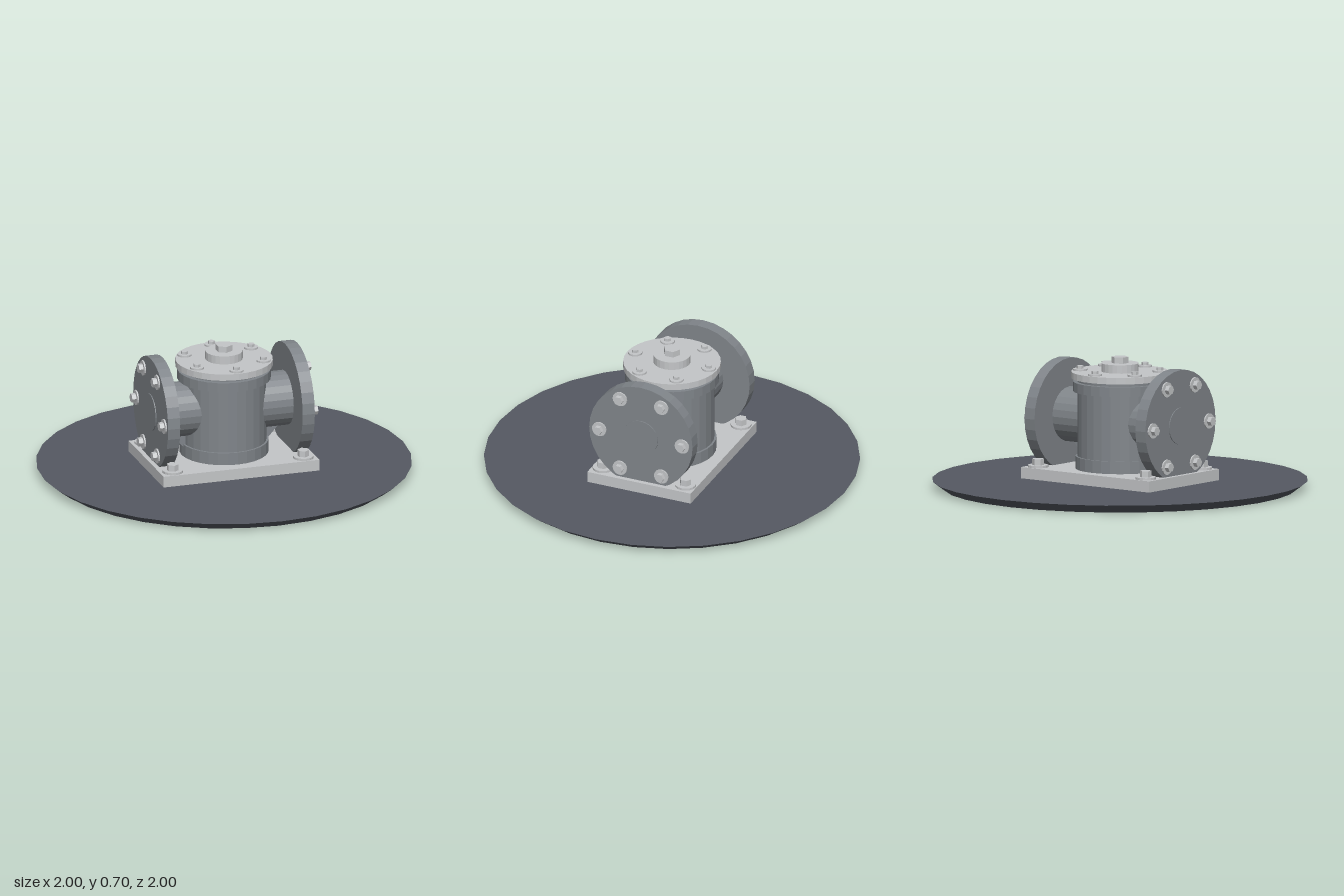
import * as THREE from 'three';

const paint = (name, color) => {
  const m = new THREE.MeshStandardMaterial({ color });
  m.name = name;
  return m;
};

export function createModel() {
  const model = new THREE.Group();
  model.name = 'pump';
  const slate = paint('dark slate', 0x555962);
  const iron = paint('cast iron grey', 0x80858a);
  const steel = paint('light steel', 0xc4c6c8);

  function add(parent, name, geometry, material) {
    const flat = geometry.index ? geometry.toNonIndexed() : geometry;
    flat.computeVertexNormals(); // faceted look
    const mesh = new THREE.Mesh(flat, material);
    mesh.name = name;
    parent.add(mesh);
    return mesh;
  }

  // Upright cylinder between two heights
  function drum(parent, name, rTop, rBottom, y0, y1, sides, material) {
    const g = new THREE.CylinderGeometry(rTop, rBottom, y1 - y0, sides);
    g.translate(0, (y0 + y1) / 2, 0);
    return add(parent, name, g, material);
  }

  // Washer with a hexagonal head, standing on y = 0
  function bolt(parent, name, x, y, z, washerR, washerH, hexR, top) {
    const g = new THREE.Group();
    g.name = name;
    g.position.set(x, y, z);
    drum(g, 'washer', washerR, washerR, 0, washerH, 16, steel);
    drum(g, 'hexHead', hexR, hexR, washerH, top, 6, steel);
    parent.add(g);
  }

  // Floor disc and mounting plate
  drum(model, 'floorDisc', 1, 0.94, 0, 0.045, 32, slate);
  const plate = add(model, 'basePlate', new THREE.BoxGeometry(0.87, 0.06, 0.6), steel);
  plate.position.y = 0.075;
  for (const x of [-0.365, 0.365])
    for (const z of [-0.24, 0.24])
      bolt(model, 'anchorBolt', x, 0.105, z, 0.055, 0.012, 0.032, 0.045);

  // Body with foot ring and collar
  drum(model, 'body', 0.226, 0.226, 0.105, 0.59, 28, iron);
  drum(model, 'footRing', 0.237, 0.237, 0.105, 0.172, 28, iron);
  drum(model, 'collar', 0.25, 0.25, 0.52, 0.572, 28, iron);

  // Lid with boss, plug and six bolts
  drum(model, 'lid', 0.26, 0.26, 0.59, 0.625, 32, steel);
  drum(model, 'lidBoss', 0.1, 0.1, 0.625, 0.67, 24, steel);
  drum(model, 'lidPlug', 0.045, 0.045, 0.67, 0.703, 6, steel);
  for (let i = 0; i < 6; i++) {
    const a = (i * Math.PI) / 3;
    bolt(model, 'lidBolt', Math.sin(a) * 0.214, 0.625, Math.cos(a) * 0.214, 0.038, 0.01, 0.019, 0.025);
  }

  // Side ports: pipe, flange, cover disc and bolts, built upright then laid along x
  for (const side of [-1, 1]) {
    const port = new THREE.Group();
    port.name = side > 0 ? 'leftPort' : 'rightPort';
    port.position.y = 0.367;
    port.rotation.z = (-side * Math.PI) / 2;
    drum(port, 'pipe', 0.147, 0.147, 0.1, 0.35, 24, iron);
    drum(port, 'flange', 0.3, 0.3, 0.342, 0.41, 32, iron);
    drum(port, 'coverDisc', 0.1, 0.1, 0.41, 0.415, 24, iron);
    for (let i = 0; i < 6; i++) {
      const a = (i * Math.PI) / 3;
      bolt(port, 'flangeBolt', Math.sin(a) * 0.24, 0.41, Math.cos(a) * 0.24, 0.041, 0.008, 0.025, 0.032);
    }
    model.add(port);

    // Rib below the pipe
    const tri = new THREE.Shape([
      new THREE.Vector2(0.2, 0.12), new THREE.Vector2(0.3, 0.23), new THREE.Vector2(0.2, 0.23),
    ]);
    const ribGeo = new THREE.ExtrudeGeometry(tri, { depth: 0.05, bevelEnabled: false });
    ribGeo.translate(0, 0, -0.025);
    const rib = add(model, 'rib', ribGeo, iron);
    if (side < 0) rib.rotation.y = Math.PI;
  }
  return model;
}
